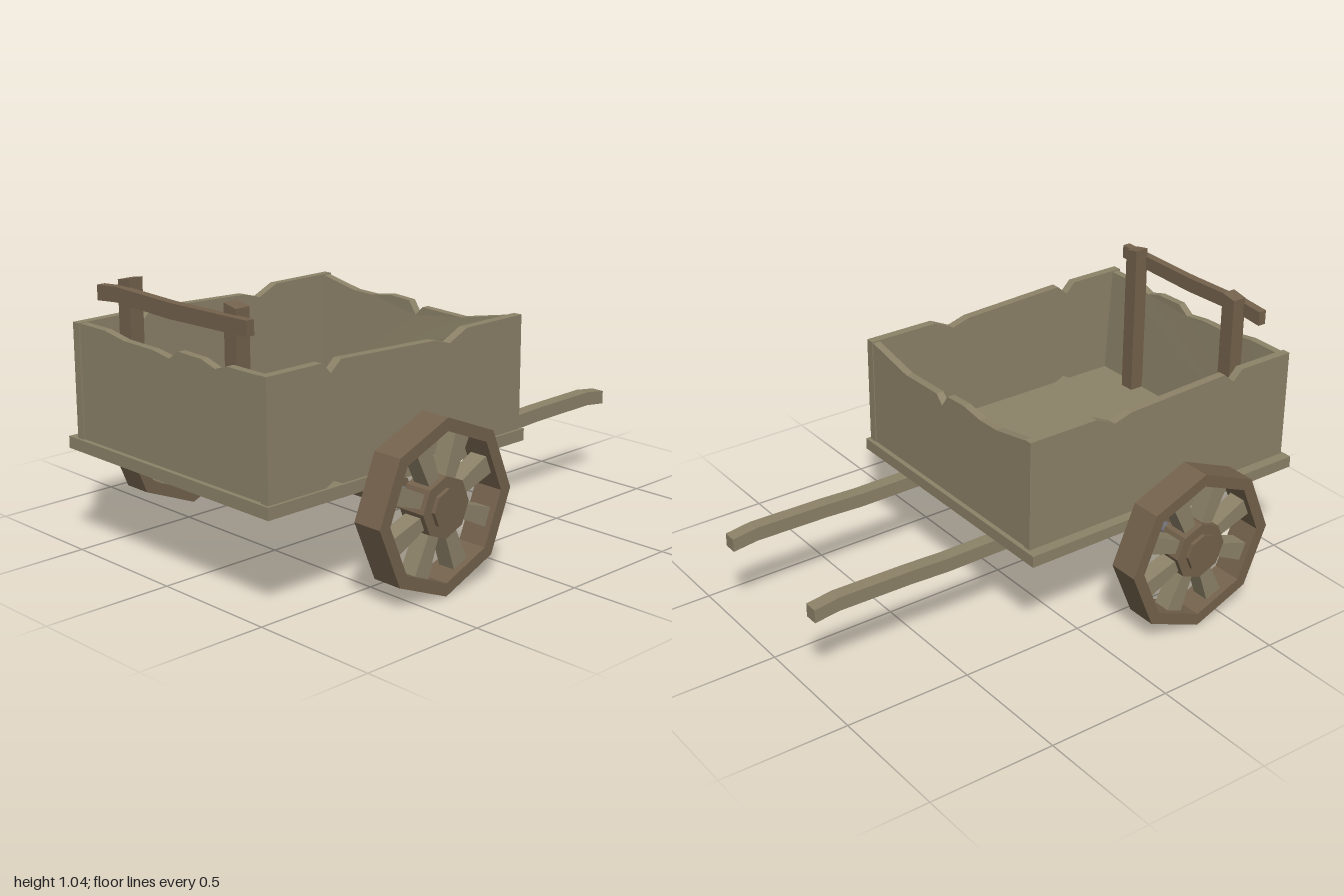
import * as THREE from 'three';

const material = (color) => new THREE.MeshStandardMaterial({ color, flatShading: true, side: THREE.DoubleSide });
const plank = material(0x8c8268);
const timber = material(0x74624c);
const iron = material(0x707074);

const AXLE_X = -0.375, AXLE_Y = 0.325;

function add(parent, name, geometry, mat) {
  const mesh = new THREE.Mesh(geometry, mat);
  mesh.name = name;
  parent.add(mesh);
  return mesh;
}

const outline = (points) => new THREE.Shape(points.map(([x, y]) => new THREE.Vector2(x, y)));

// Extrudes an x-y outline from z0 to z1
function slab(points, z0, z1) {
  return new THREE.ExtrudeGeometry(outline(points), { depth: z1 - z0, bevelEnabled: false }).translate(0, 0, z0);
}

// Extrudes a z-y outline from x0 to x1
function crossSlab(points, x0, x1) {
  const flipped = points.map(([z, y]) => [-z, y]);
  return slab(flipped, x0, x1).rotateY(Math.PI / 2);
}

function box(x0, x1, y0, y1, z0, z1) {
  return new THREE.BoxGeometry(x1 - x0, y1 - y0, z1 - z0)
    .translate((x0 + x1) / 2, (y0 + y1) / 2, (z0 + z1) / 2);
}

// Octagonal or round bar lying along z, with a corner pointing up
const bar = (radius, length, sides) => new THREE.CylinderGeometry(radius, radius, length, sides).rotateX(Math.PI / 2);

// End wall whose inner face leans out toward the top
function endWall(top, outer, innerTop, innerBottom) {
  const points = [[0.497, 0.43], ...top, [-0.472, 0.43]];
  const geometry = crossSlab(points, Math.min(outer, innerTop), Math.max(outer, innerTop));
  const p = geometry.attributes.position;
  for (let i = 0; i < p.count; i++) {
    if (Math.abs(p.getX(i) - innerTop) < 0.005 && p.getY(i) < 0.5) p.setX(i, innerBottom);
  }
  geometry.computeVertexNormals();
  return geometry;
}

function createWheel(name, side) {
  const wheel = new THREE.Group();
  wheel.name = name;
  const octagon = (r) => Array.from({ length: 8 }, (_, i) => [r * Math.cos(i * Math.PI / 4), r * Math.sin(i * Math.PI / 4)]);

  // Rim
  const rim = outline(octagon(0.32));
  rim.holes.push(outline(octagon(0.272)));
  add(wheel, 'rim', new THREE.ExtrudeGeometry(rim, { depth: 0.12, bevelEnabled: false }).translate(0, 0, -0.06), timber);

  // Spokes run to the middle of each rim side, widening outward
  for (let i = 0; i < 8; i++) {
    const spoke = slab([[0.08, -0.024], [0.262, -0.036], [0.262, 0.036], [0.08, 0.024]], -0.035, 0.035);
    add(wheel, 'spoke', spoke, plank).rotation.z = (i + 0.5) * Math.PI / 4;
  }

  // Hub and its raised cap
  add(wheel, 'hub', bar(0.112, 0.11, 8), timber);
  add(wheel, 'hubCap', bar(0.072, 0.14, 8), timber);
  wheel.position.set(AXLE_X, AXLE_Y, side * 0.684);
  return wheel;
}

export function createModel() {
  const cart = new THREE.Group();
  cart.name = 'handCart';

  // Cart bed
  add(cart, 'floor', box(-1, 0.245, 0.385, 0.43, -0.547, 0.543), plank);

  // Side walls with chipped edges
  const sideProfile = [
    [-0.99, 0.43], [-0.735, 0.43], [-0.7, 0.448], [-0.66, 0.43], [0.23, 0.43],
    [0.23, 0.86], [-0.06, 0.86], [-0.145, 0.82], [-0.22, 0.842], [-0.665, 0.86],
    [-0.71, 0.82], [-0.75, 0.86], [-0.99, 0.86],
  ];
  add(cart, 'leftWall', slab(sideProfile, 0.497, 0.532), plank);
  add(cart, 'rightWall', slab(sideProfile, -0.505, -0.472), plank);

  // End walls with worn top edges
  const frontTop = [
    [0.497, 0.855], [0.27, 0.81], [0.07, 0.815], [0.035, 0.78], [0, 0.83],
    [-0.1, 0.835], [-0.2, 0.82], [-0.3, 0.822], [-0.472, 0.855],
  ];
  const backTop = [
    [0.497, 0.855], [0.33, 0.855], [0.27, 0.835], [0.2, 0.855], [0.08, 0.858],
    [0.03, 0.825], [-0.06, 0.838], [-0.22, 0.84], [-0.33, 0.858], [-0.472, 0.858],
  ];
  add(cart, 'frontWall', endWall(frontTop, 0.226, 0.195, 0.17), plank);
  add(cart, 'backWall', endWall(backTop, -0.982, -0.952, -0.925), plank);

  // Posts with slanted tops and the rail behind them
  for (const [name, outer, inner] of [['leftPost', 0.317, 0.256], ['rightPost', -0.314, -0.25]]) {
    add(cart, name, crossSlab([[outer, 0.43], [inner, 0.43], [inner, 1.046], [outer, 1.034]], -0.928, -0.87), timber);
  }
  const rail = [
    [0.4, 0.96], [0.28, 0.957], [0, 0.951], [-0.29, 0.96], [-0.4, 0.95],
    [-0.4, 1.006], [-0.29, 1.015], [0, 1.008], [0.28, 1.012], [0.4, 1.014],
  ];
  add(cart, 'backRail', crossSlab(rail, -0.955, -0.922), timber);

  // Pulling shafts
  const shaft = [
    [-0.34, 0.33], [0.45, 0.325], [0.6, 0.332], [0.9, 0.336], [1, 0.324],
    [1, 0.376], [0.9, 0.39], [0.6, 0.386], [0.45, 0.38], [-0.34, 0.385],
  ];
  add(cart, 'leftShaft', slab(shaft, 0.257, 0.311), plank);
  add(cart, 'rightShaft', slab(shaft, -0.314, -0.26), plank);

  // Axle beam and iron rod
  add(cart, 'axleBeam', bar(0.06, 1.03, 8), timber).position.set(AXLE_X, AXLE_Y, 0);
  add(cart, 'axleRod', bar(0.026, 1.36, 10), iron).position.set(AXLE_X, AXLE_Y, 0);

  // Wheels
  cart.add(createWheel('leftWheel', 1), createWheel('rightWheel', -1));
  return cart;
}
